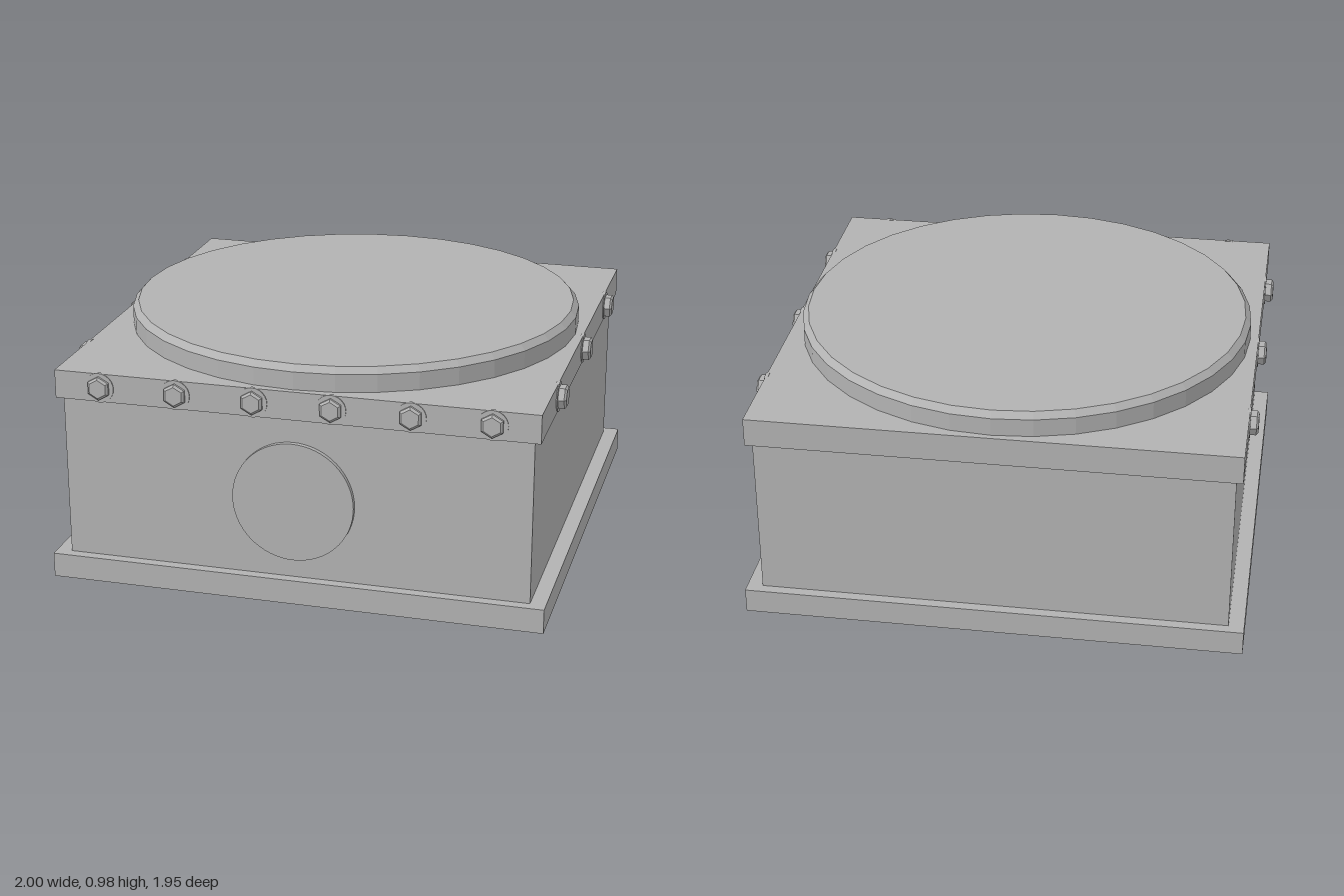
import * as THREE from 'three';

export function createModel() {
  const model = new THREE.Group();
  const metal = new THREE.MeshStandardMaterial({ color: 0xb2b2b2, flatShading: true });
  metal.name = 'grey metal';

  const add = (parent, name, geometry, x, y, z) => {
    const mesh = new THREE.Mesh(geometry, metal);
    mesh.name = name;
    mesh.position.set(x, y, z);
    parent.add(mesh);
    return mesh;
  };
  // Box and prism placed by their bottom and top heights
  const box = (name, w, d, y0, y1) =>
    add(model, name, new THREE.BoxGeometry(w, y1 - y0, d), 0, (y0 + y1) / 2, 0);
  const prism = (parent, name, r0, r1, y0, y1, sides) =>
    add(parent, name, new THREE.CylinderGeometry(r1, r0, y1 - y0, sides), 0, (y0 + y1) / 2, 0);

  // Square housing
  box('basePlate', 2, 1.954, 0, 0.1);
  box('body', 1.876, 1.87, 0.1, 0.765);
  box('flange', 1.928, 1.908, 0.765, 0.88);

  // Round lid with a bevelled rim
  prism(model, 'lidRim', 0.93, 0.93, 0.88, 0.952, 36);
  prism(model, 'lidBevel', 0.93, 0.907, 0.952, 0.977, 36);

  // Round cover on the front
  const cover = new THREE.CylinderGeometry(0.244, 0.244, 0.03, 64).rotateX(Math.PI / 2);
  add(model, 'frontCover', cover, 0, 0.423, 0.94);

  // Hex bolt along its own +y, with a thin washer and a chamfered head
  const bolt = (name, height) => {
    const group = new THREE.Group();
    group.name = name;
    prism(group, 'washer', 0.06, 0.06, -0.01, 0.004, 24);
    prism(group, 'boltHead', 0.048, 0.048, 0.004, height - 0.008, 6);
    prism(group, 'boltChamfer', 0.048, 0.038, height - 0.008, height, 6);
    model.add(group);
    return group;
  };

  // Six bolts across the front of the flange
  for (let i = 0; i < 6; i++) {
    const b = bolt('frontBolt', 0.022);
    b.position.set((i - 2.5) * 0.312, 0.823, 0.954);
    b.rotation.x = Math.PI / 2;
  }
  // Three bolts on each side
  for (const side of [-1, 1]) {
    for (const z of [-0.587, 0, 0.587]) {
      const b = bolt(side > 0 ? 'leftBolt' : 'rightBolt', 0.036);
      b.position.set(side * 0.964, 0.823, z);
      b.rotation.z = -side * Math.PI / 2;
    }
  }
  return model;
}
